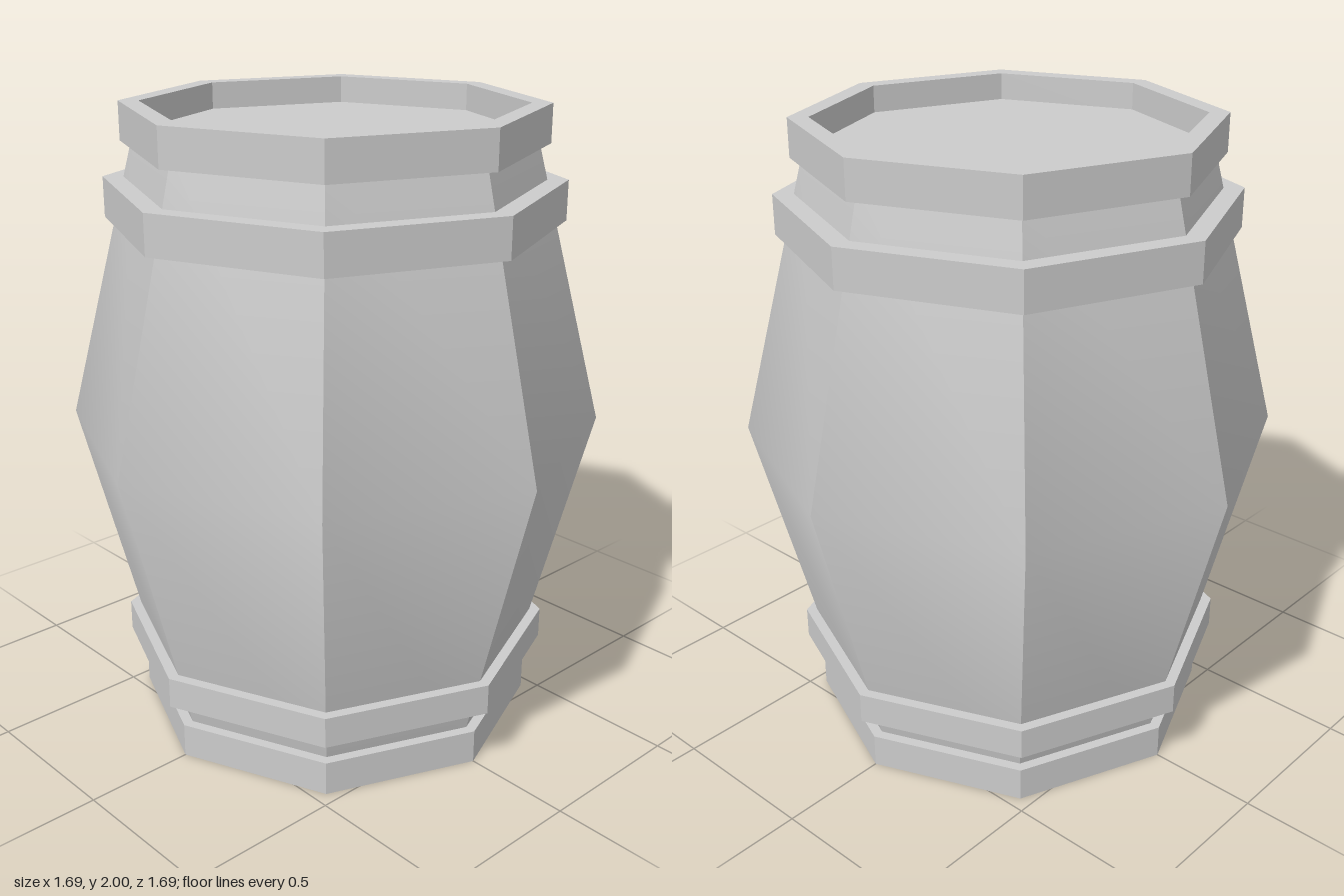
import * as THREE from 'three';
import { toCreasedNormals } from 'three/addons/utils/BufferGeometryUtils.js';

const SIDES = 8;

export function createModel() {
  const barrel = new THREE.Group();
  barrel.name = 'barrel';
  const material = new THREE.MeshStandardMaterial({ color: 0xcccccc });

  // Eight-sided turned part; profile runs bottom to top along the outside
  const addTurned = (name, profile) => {
    const points = profile.map(([r, y]) => new THREE.Vector2(r, y));
    // Crease between staves, but stay smooth over the belly of each stave
    const geometry = toCreasedNormals(new THREE.LatheGeometry(points, SIDES), 0.62);
    const mesh = new THREE.Mesh(geometry, material);
    mesh.name = name;
    barrel.add(mesh);
  };

  const addHoop = (name, inner, outer, y0, y1) =>
    addTurned(name, [[inner, y0], [outer, y0], [outer, y1], [inner, y1], [inner, y0]]);

  // Staves with recessed lid and base
  addTurned('body', [[0, 0.06], [0.603, 0.06], [0.845, 1], [0.61, 1.915], [0, 1.915]]);

  // End rims stand proud of the lid and base
  addHoop('bottomRim', 0.59, 0.65, 0, 0.11);
  addHoop('topRim', 0.59, 0.653, 1.88, 2);

  // Hoops around the staves
  addHoop('lowerHoop', 0.62, 0.7, 0.2, 0.3);
  addHoop('upperHoop', 0.63, 0.712, 1.645, 1.77);

  return barrel;
}
